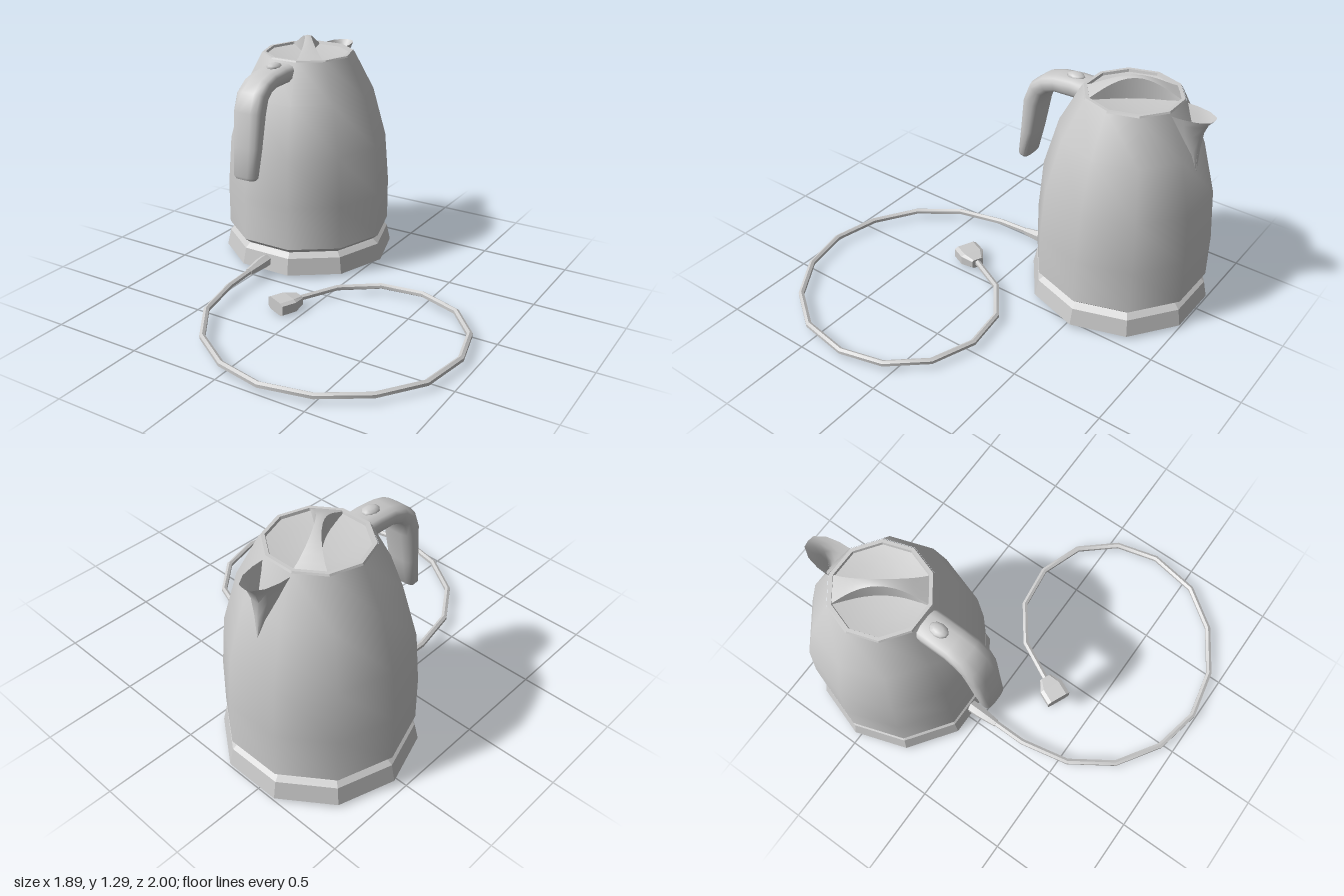
import * as THREE from 'three';
import { toCreasedNormals } from 'three/addons/utils/BufferGeometryUtils.js';

const V = (x, y, z) => new THREE.Vector3(x, y, z);
const SIDES = 10;
const grey = new THREE.MeshStandardMaterial({ color: 0xcccccc });
const flat = new THREE.MeshStandardMaterial({ color: 0xcccccc, flatShading: true });
const thin = new THREE.MeshStandardMaterial({ color: 0xcccccc, side: THREE.DoubleSide });

function add(parent, name, geometry, material = grey) {
  const mesh = new THREE.Mesh(geometry, material);
  mesh.name = name;
  parent.add(mesh);
  return mesh;
}

// Skin a list of equal-length rings (counter-clockwise about the travel direction)
function loft(rings, { closed = true, crease = 0.8 } = {}) {
  const n = rings[0].length, pos = [], idx = [];
  rings.forEach(r => r.forEach(p => pos.push(p.x, p.y, p.z)));
  for (let i = 0; i < rings.length - 1; i++) {
    for (let j = 0; j < (closed ? n : n - 1); j++) {
      const k = (j + 1) % n;
      const a = i * n + j, b = i * n + k, c = b + n, d = a + n;
      idx.push(a, b, c, a, c, d);
    }
  }
  if (closed) {
    [0, rings.length - 1].forEach((r, end) => {
      const mid = rings[r].reduce((s, p) => s.add(p), V(0, 0, 0)).divideScalar(n);
      const m = pos.length / 3;
      pos.push(mid.x, mid.y, mid.z);
      for (let j = 0; j < n; j++) {
        const a = r * n + j, b = r * n + (j + 1) % n;
        if (end) idx.push(m, a, b); else idx.push(m, b, a);
      }
    });
  }
  const g = new THREE.BufferGeometry();
  g.setAttribute('position', new THREE.Float32BufferAttribute(pos, 3));
  g.setIndex(idx);
  g.computeVertexNormals();
  return toCreasedNormals(g, crease);
}

// Sweep a superellipse along a path; sizes are [half width, half thickness]
function sweep(path, sizes, n, power = 1, side = null, crease = 0.8) {
  const bend = v => Math.sign(v) * Math.pow(Math.abs(v), power);
  return loft(path.map((p, i) => {
    const t = path[Math.min(i + 1, path.length - 1)].clone().sub(path[Math.max(i - 1, 0)]).normalize();
    const u = side ? side.clone() : V(0, 1, 0).cross(t).normalize();
    const v = t.clone().cross(u);
    const [ru, rv] = sizes[Math.min(i, sizes.length - 1)];
    return Array.from({ length: n }, (_, j) => {
      const a = (j + 0.5) / n * Math.PI * 2;
      return p.clone().addScaledVector(u, ru * bend(Math.cos(a))).addScaledVector(v, rv * bend(Math.sin(a)));
    });
  }), { crease });
}

// Ten-sided turned part with corners on the x axis
function turned(profile) {
  const pts = profile.map(([r, y]) => new THREE.Vector2(r, y));
  return toCreasedNormals(new THREE.LatheGeometry(pts, SIDES, Math.PI / 2), 0.66);
}

export function createModel() {
  const model = new THREE.Group();
  model.name = 'electricKettle';
  const kettle = new THREE.Group();
  kettle.name = 'kettle';
  kettle.position.set(-0.455, 0, -0.53);
  model.add(kettle);

  // Power base and jug
  add(kettle, 'powerBase', turned([[0, 0.02], [0.495, 0.02], [0.475, 0.115], [0.45, 0.135], [0.43, 0.15], [0, 0.15]]), flat);
  add(kettle, 'body', turned([[0, 0.14], [0.44, 0.14], [0.475, 0.17], [0.475, 0.42], [0.453, 0.7],
    [0.378, 0.98], [0.265, 1.2]]));
  add(kettle, 'rim', turned([[0.265, 1.195], [0.258, 1.208], [0.24, 1.208], [0.235, 1.192]]), flat);
  add(kettle, 'lid', turned([[0.24, 1.195], [0.16, 1.183], [0.08, 1.178], [0, 1.176]]));

  // Arched, waisted grip across the lid
  const gripRings = [];
  for (let i = 0; i <= 12; i++) {
    const s = (i / 6 - 1) * 0.235, q = Math.abs(s) / 0.235;
    const w = 0.02 + 0.065 * q * q;
    const top = 1.203 + 0.09 * Math.pow(Math.cos(q * Math.PI / 2), 1.1);
    gripRings.push([V(w, 1.17, s), V(w * 0.9, top - 0.004, s), V(0, top, s), V(-w * 0.9, top - 0.004, s), V(-w, 1.17, s)]);
  }
  add(kettle, 'lidGrip', loft(gripRings)).rotation.y = 0.61;

  // Handle, given as [z, y, half width, half thickness] in model space
  const handle = [[-0.32, 1.14, 0.085, 0.05], [-0.2, 1.14, 0.085, 0.05], [-0.1, 1.133, 0.085, 0.046],
    [-0.035, 1.112, 0.088, 0.048], [0.015, 1.07, 0.09, 0.052], [0.045, 0.985, 0.09, 0.054],
    [0.07, 0.8, 0.082, 0.045], [0.096, 0.64, 0.073, 0.035], [0.098, 0.625, 0.06, 0.026]];
  add(kettle, 'handle', sweep(handle.map(([z, y]) => V(0, y, z + 0.53)),
    handle.map(h => [h[2], h[3]]), 12, 0.65, V(1, 0, 0), 0.9));
  const button = add(kettle, 'powerButton', new THREE.SphereGeometry(1, 10, 6));
  button.scale.set(0.037, 0.022, 0.053);
  button.position.set(0, 1.186, 0.34);

  // Open V-shaped pouring spout: [y, half width, root z, tip z]
  const spout = [[0.88, 0.004, -0.375, -0.385], [1.0, 0.035, -0.33, -0.385], [1.09, 0.06, -0.29, -0.392],
    [1.15, 0.074, -0.27, -0.415], [1.187, 0.085, -0.25, -0.447]];
  const spoutRings = spout.map(([y, w, root, tip]) =>
    [[1, 0], [0.97, 0.35], [0.8, 0.7], [0.4, 0.97], [0, 1], [-0.4, 0.97], [-0.8, 0.7], [-0.97, 0.35], [-1, 0]]
      .map(([x, k]) => V(x * w, y, root + (tip - root) * k)));
  add(kettle, 'spout', loft(spoutRings, { closed: false }), thin);

  // Strain relief and coiled power cord
  add(model, 'strainRelief', sweep([V(-0.455, 0.075, -0.12), V(-0.455, 0.073, -0.02), V(-0.455, 0.068, 0.1)],
    [[0.036, 0.036], [0.036, 0.036], [0.022, 0.022]], 6));
  const cord = [[-0.455, 0.08], [-0.455, 0.28], [-0.4, 0.55], [-0.25, 0.775], [-0.02, 0.925], [0.235, 0.98],
    [0.5, 0.925], [0.73, 0.775], [0.885, 0.56], [0.93, 0.285], [0.87, 0.05], [0.71, -0.135],
    [0.475, -0.22], [0.235, -0.19], [0.04, -0.045], [-0.08, 0.19]];
  const lift = [0.07, 0.06, 0.053, 0.046];
  add(model, 'powerCord', sweep(cord.map(([x, z], i) => V(x, lift[i] ?? 0.042, z)), [[0.017, 0.017]], 6));

  // Plug at the free end of the cord
  const dir = V(-0.41, 0, 0.91), start = V(-0.07, 0.038, 0.17);
  add(model, 'plug', sweep([0, 0.065, 0.15].map(d => start.clone().addScaledVector(dir, d)),
    [[0.036, 0.028], [0.072, 0.038], [0.072, 0.038]], 8, 0.4), flat);

  return model;
}
